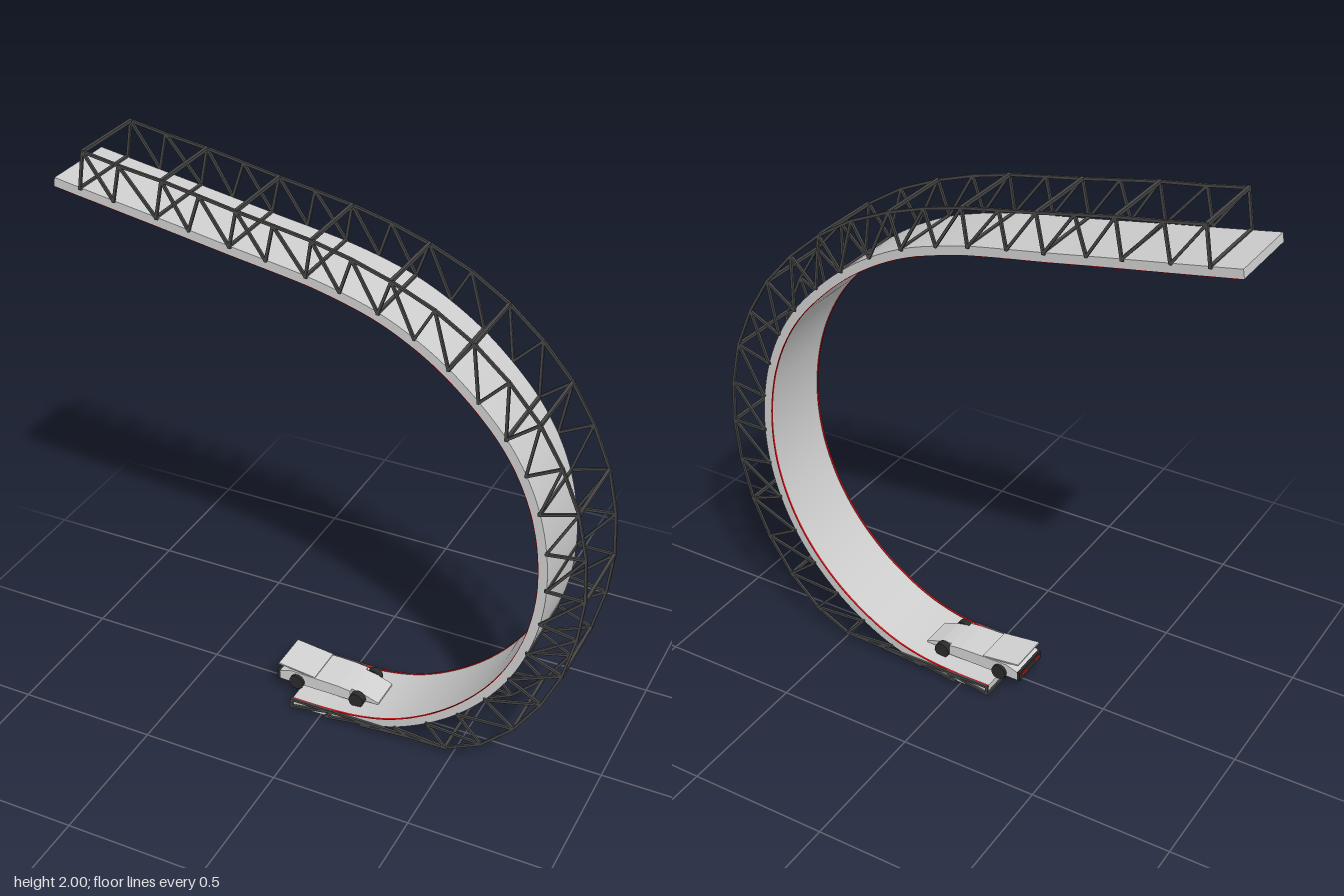
import * as THREE from 'three';
import { toCreasedNormals } from 'three/addons/utils/BufferGeometryUtils.js';

const material = (name, color) => {
  const m = new THREE.MeshStandardMaterial({ color });
  m.name = name;
  return m;
};

// Truss nodes on the outer face of the track, from the high end to the ground
const INNER_NODES = [
  [-0.84, 1.867], [-0.717, 1.846], [-0.563, 1.82], [-0.447, 1.8], [-0.304, 1.775], [-0.177, 1.754],
  [-0.04, 1.73], [0.075, 1.702], [0.204, 1.66], [0.325, 1.6], [0.44, 1.523], [0.542, 1.433],
  [0.637, 1.328], [0.708, 1.216], [0.76, 1.09], [0.791, 0.95], [0.8, 0.81], [0.787, 0.675],
  [0.752, 0.543], [0.695, 0.416], [0.616, 0.3], [0.52, 0.2], [0.41, 0.118], [0.288, 0.055],
  [0.16, 0.02], [0.02, 0.007], [-0.113, 0.006],
];
// Outer chord of the truss, one node beside each of the above
const OUTER_NODES = [
  [-0.82, 1.995], [-0.69, 1.972], [-0.537, 1.95], [-0.405, 1.925], [-0.277, 1.9], [-0.15, 1.878],
  [-0.02, 1.855], [0.115, 1.821], [0.246, 1.777], [0.39, 1.713], [0.52, 1.63], [0.637, 1.528],
  [0.743, 1.407], [0.823, 1.274], [0.886, 1.126], [0.921, 0.967], [0.93, 0.81], [0.914, 0.654],
  [0.875, 0.495], [0.812, 0.352], [0.722, 0.214], [0.61, 0.104], [0.48, 0.038], [0.35, 0.036],
  [0.2, 0.036], [0.05, 0.036], [-0.113, 0.036],
];

const HALF_WIDTH = 0.14;
const TRUSS_Z = 0.144;

export function createModel() {
  const trackGrey = material('track grey', 0xcecece);
  const steel = material('dark steel', 0x464646);
  const red = material('edge red', 0xd01014);
  const bodyGrey = material('car silver', 0xd2d2d2);
  const rubber = material('rubber black', 0x2a2a2a);

  const model = new THREE.Group();
  model.name = 'loopRamp';

  const add = (parent, name, geometry, mat, x = 0, y = 0, z = 0) => {
    const mesh = new THREE.Mesh(geometry, mat);
    mesh.name = name;
    mesh.position.set(x, y, z);
    parent.add(mesh);
    return mesh;
  };

  // Side curve of the track; a band between two depths below it is extruded across
  const curve = new THREE.CatmullRomCurve3(
    [[-0.938, 1.884], ...INNER_NODES].map(([x, y]) => new THREE.Vector3(x, y, 0)));
  const STEPS = 120;
  const band = (near, far, width) => {
    const edge = (depth) => Array.from({ length: STEPS + 1 }, (_, i) => {
      const p = curve.getPointAt(i / STEPS);
      const t = curve.getTangentAt(i / STEPS);
      return new THREE.Vector2(p.x + t.y * depth, p.y - t.x * depth);
    });
    const shape = new THREE.Shape([...edge(near), ...edge(far).reverse()]);
    const geometry = new THREE.ExtrudeGeometry(shape, { depth: width, bevelEnabled: false });
    geometry.translate(0, 0, -width / 2);
    return toCreasedNormals(geometry, 0.5);
  };
  add(model, 'track', band(0, 0.03, HALF_WIDTH * 2), trackGrey);

  // Thin red lines lying on the driving surface at both edges
  for (const side of [-1, 1]) {
    add(model, 'edgeLine', band(0.0295, 0.032, 0.007), red, 0, 0, side * (HALF_WIDTH - 0.0035));
  }

  // Truss made of straight square bars
  const truss = new THREE.Group();
  truss.name = 'truss';
  model.add(truss);
  const bar = (name, a, b, za, zb, thickness = 0.009) => {
    const start = new THREE.Vector3(a[0], a[1], za);
    const end = new THREE.Vector3(b[0], b[1], zb);
    const mesh = add(truss, name,
      new THREE.BoxGeometry(thickness, thickness, start.distanceTo(end) + thickness * 0.6), steel);
    mesh.position.copy(start).lerp(end, 0.5);
    mesh.lookAt(end);
  };
  OUTER_NODES.forEach((outer, i) => {
    const inner = INNER_NODES[i];
    for (const z of [-TRUSS_Z, TRUSS_Z]) {
      bar('strut', inner, outer, z, z);
      if (i < OUTER_NODES.length - 1) {
        bar('chord', outer, OUTER_NODES[i + 1], z, z);
        bar('diagonal', outer, INNER_NODES[i + 1], z, z);
      }
    }
    // Every second panel is tied across the track
    if (i % 2 === 0) {
      bar('innerCrossbar', inner, inner, -TRUSS_Z, TRUSS_Z, 0.011);
      if (i < 23) bar('outerCrossbar', outer, outer, -TRUSS_Z, TRUSS_Z, 0.011);
    }
  });

  // Car: wedge body with its nose towards the loop
  const car = new THREE.Group();
  car.name = 'car';
  model.add(car);
  const extrudeSide = (points, width) => {
    const shape = new THREE.Shape(points.map(([x, y]) => new THREE.Vector2(x, y)));
    return new THREE.ExtrudeGeometry(shape, { depth: width, bevelEnabled: false })
      .translate(0, 0, -width / 2);
  };
  add(car, 'body', extrudeSide([
    [-0.194, 0.053], [0.085, 0.053], [0.085, 0.093], [0.04, 0.098], [-0.15, 0.103], [-0.194, 0.087],
  ], 0.15), bodyGrey);
  add(car, 'nose', extrudeSide([
    [0.085, 0.053], [0.188, 0.057], [0.188, 0.064], [0.13, 0.084], [0.085, 0.093],
  ], 0.12), bodyGrey);
  add(car, 'rearWing', extrudeSide([
    [-0.198, 0.116], [-0.055, 0.101], [-0.055, 0.105], [-0.198, 0.122],
  ], 0.15), bodyGrey);

  // Tail panel and lamps
  add(car, 'tailPanel', new THREE.BoxGeometry(0.012, 0.034, 0.15), rubber, -0.199, 0.07, 0);
  for (const side of [-1, 1]) {
    add(car, 'tailLamp', new THREE.BoxGeometry(0.003, 0.008, 0.035), red, -0.2055, 0.073, side * 0.045);
    for (const x of [-0.124, 0.112]) {
      const wheel = new THREE.CylinderGeometry(0.028, 0.028, 0.026, 20).rotateX(Math.PI / 2);
      add(car, 'wheel', wheel, rubber, x, 0.066, side * 0.073);
    }
  }

  return model;
}
